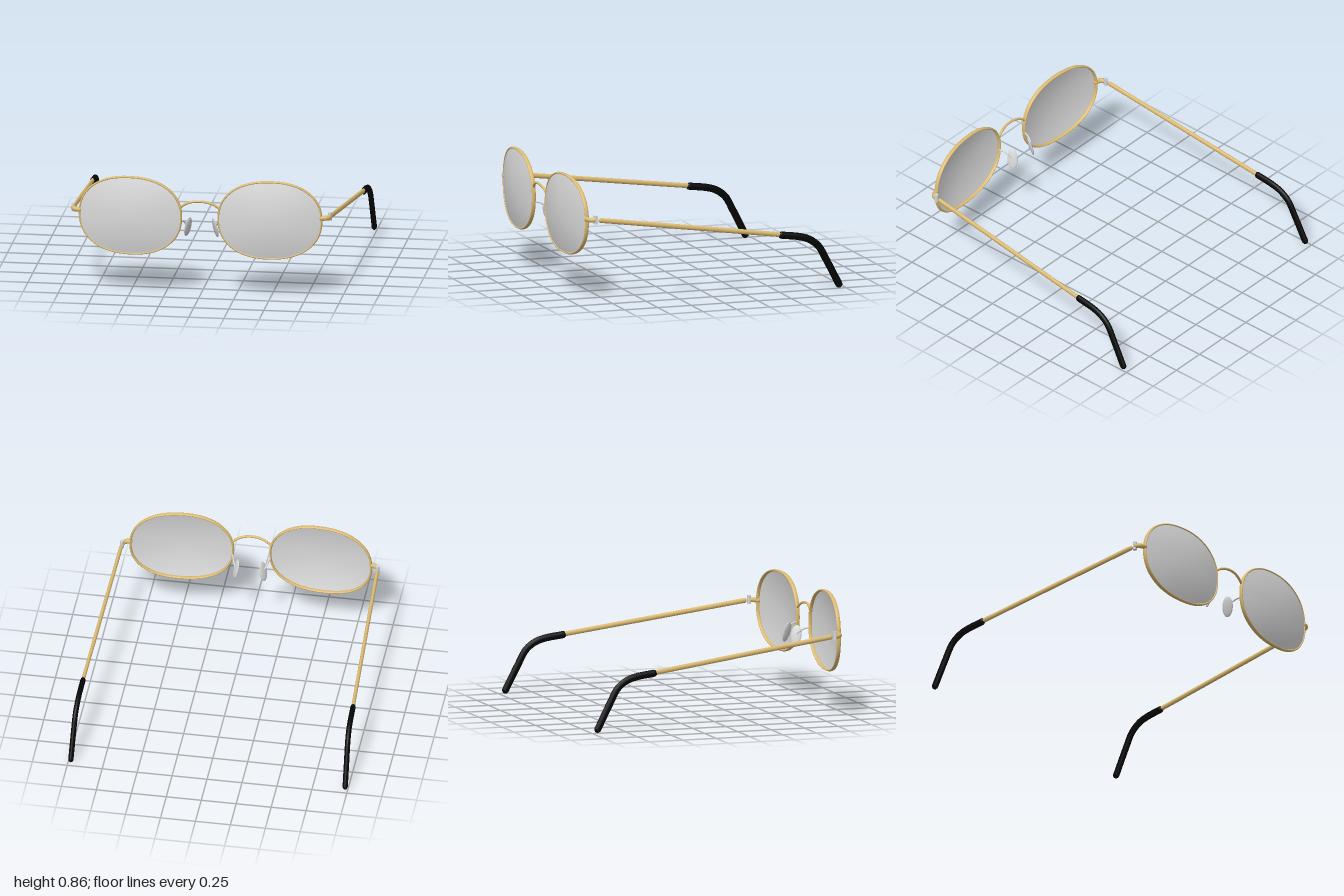
import * as THREE from 'three';

const mat = (name, color, side = THREE.FrontSide) =>
  Object.assign(new THREE.MeshStandardMaterial({ color, side }), { name });
const V = (x, y, z) => new THREE.Vector3(x, y, z);

// Lens outline: a slightly squared oval, wrapped back toward the temples
const CX = 0.497, CY = 0.57, A = 0.364, B = 0.279, POW = 2 / 2.25;
const bend = (c) => Math.sign(c) * Math.abs(c) ** POW;
const rimZ = (x) => {
  const u = (Math.abs(x) - CX) / A;
  return 0.914 - 0.021 * u + 0.012 * (1 - u * u);
};

export function createModel() {
  const gold = mat('gold metal', 0xdcba70);
  const silver = mat('silver', 0xd6d6d6);
  const black = mat('black plastic', 0x050505);
  const glass = mat('grey lens', 0xdadada, THREE.DoubleSide);
  const model = new THREE.Group();
  model.name = 'glasses';

  const add = (name, geometry, material) => {
    const mesh = new THREE.Mesh(geometry, material);
    mesh.name = name;
    model.add(mesh);
    return mesh;
  };

  // Rod along points, its section stretched by kx and kz, with rounded ends if open
  const rod = (name, pts, r, material, kx = 1, kz = 1, closed = false) => {
    const path = new THREE.CatmullRomCurve3(pts.map((p) => V(p.x / kx, p.y, p.z / kz)), closed, 'centripetal');
    add(name, new THREE.TubeGeometry(path, closed ? 96 : 32, r, 12, closed).scale(kx, 1, kz), material);
    if (closed) return;
    for (const p of [pts[0], pts[pts.length - 1]]) {
      const end = new THREE.SphereGeometry(r, 12, 8).scale(kx, 1, kz);
      add(name + 'End', end.translate(p.x, p.y, p.z), material);
    }
  };

  for (const s of [-1, 1]) {
    const side = s > 0 ? 'left' : 'right';

    // Domed lens seated at the front of the rim
    const lens = new THREE.RingGeometry(0, 1, 72, 10);
    const pos = lens.attributes.position;
    for (let i = 0; i < pos.count; i++) {
      const px = pos.getX(i), py = pos.getY(i), r = Math.hypot(px, py);
      const t = Math.atan2(py, px);
      const x = s * CX + A * r * bend(Math.cos(t));
      pos.setXYZ(i, x, CY + B * r * bend(Math.sin(t)), rimZ(x) + 0.008 + 0.038 * (1 - r * r));
    }
    lens.computeVertexNormals();
    add(side + 'Lens', lens, glass);

    // Rim: a thin band, deeper than it is wide
    const rim = [];
    for (let i = 0; i < 48; i++) {
      const t = (i / 48) * Math.PI * 2;
      const x = s * CX + A * bend(Math.cos(t));
      rim.push(V(x, CY + B * bend(Math.sin(t)), rimZ(x)));
    }
    rod(side + 'Rim', rim, 0.0075, gold, 1, 2, true);

    // End piece and hinge
    rod(side + 'EndPiece', [V(s * 0.862, 0.59, 0.895), V(s * 0.89, 0.59, 0.886),
      V(s * 0.907, 0.59, 0.87), V(s * 0.913, 0.59, 0.855)], 0.018, gold, 0.85);
    add(side + 'Hinge', new THREE.CylinderGeometry(0.014, 0.014, 0.06, 16), silver)
      .position.set(s * 0.914, 0.592, 0.846);

    // Temple arm and its bent ear tip
    rod(side + 'Arm', [V(s * 0.916, 0.586, 0.81), V(s * 0.966, 0.405, -0.53)], 0.0175, gold, 0.75);
    rod(side + 'EarTip', [V(s * 0.966, 0.402, -0.53), V(s * 0.969, 0.384, -0.66),
      V(s * 0.971, 0.362, -0.73), V(s * 0.974, 0.31, -0.8), V(s * 0.977, 0.2, -0.863),
      V(s * 0.981, 0.026, -0.953)], 0.026, black, 0.73);

    // Nose pad: thin oval leaning outward at the bottom and front
    const long = V(-s * 0.027, 0.145, 0.028).normalize();
    const normal = V(s * 0.07, 0, -0.04);
    normal.addScaledVector(long, -normal.dot(long)).normalize();
    const wide = long.clone().cross(normal);
    const pad = add(side + 'NosePad', new THREE.SphereGeometry(1, 24, 16).scale(0.038, 0.075, 0.011), silver);
    pad.quaternion.setFromRotationMatrix(new THREE.Matrix4().makeBasis(wide, long, normal));
    pad.position.set(s * 0.097, 0.479, 0.841);
    rod(side + 'PadWire', [V(s * 0.137, 0.54, 0.932), V(s * 0.125, 0.53, 0.89),
      V(s * 0.115, 0.51, 0.86), V(s * 0.1, 0.485, 0.842)], 0.006, silver);
  }

  // Arched bridge
  rod('bridge', [V(-0.138, 0.645, 0.934), V(-0.1, 0.672, 0.941), V(-0.05, 0.69, 0.947), V(0, 0.695, 0.949),
    V(0.05, 0.69, 0.947), V(0.1, 0.672, 0.941), V(0.138, 0.645, 0.934)], 0.009, gold);

  return model;
}
